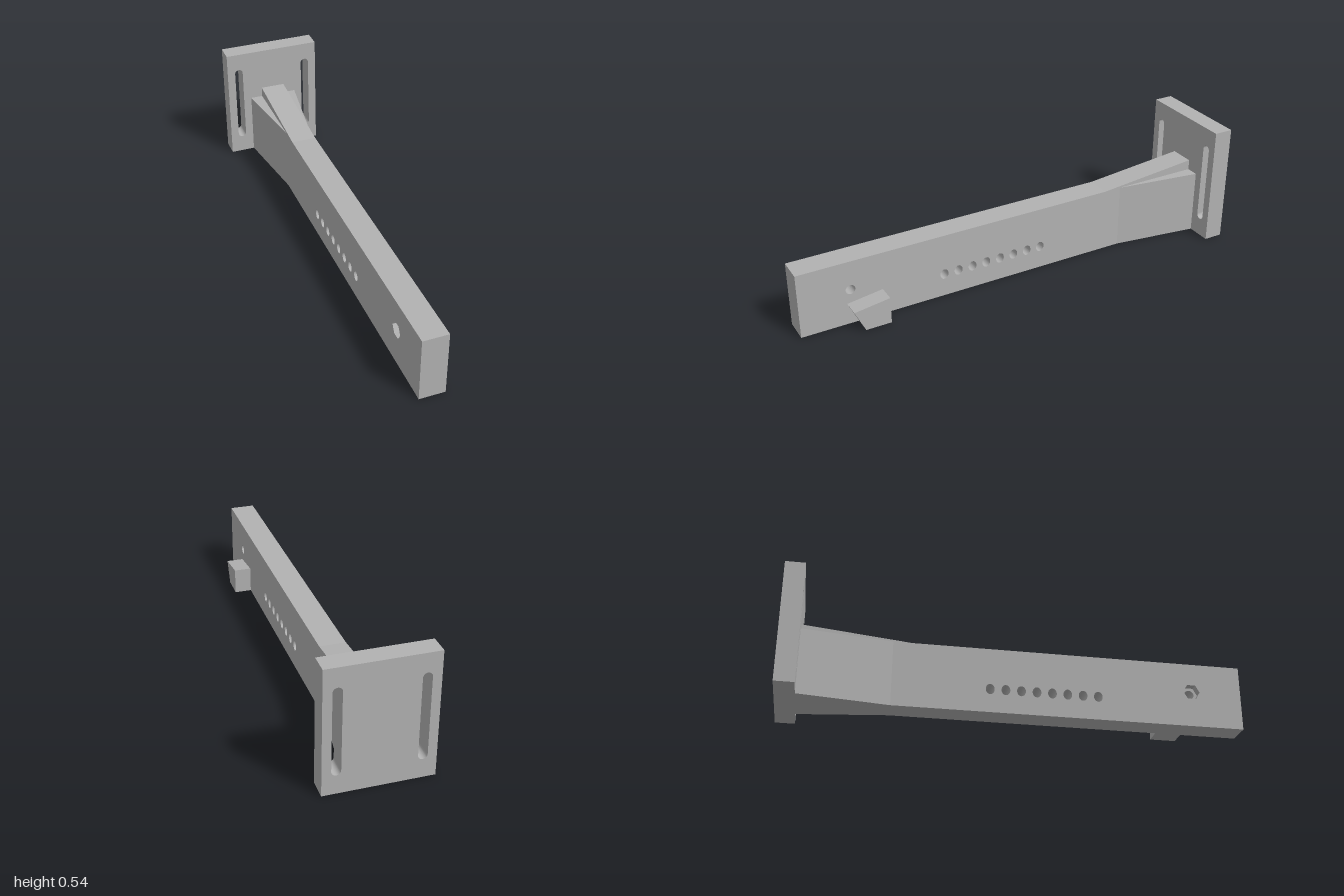
import * as THREE from 'three';

export function createModel() {
  const model = new THREE.Group();
  model.name = 'slottedWallBracket';
  const grey = new THREE.MeshStandardMaterial({ color: 0xb2b2b2 });
  grey.name = 'plain grey';

  const polygon = (points) => new THREE.Shape(points.map(([a, b]) => new THREE.Vector2(a, b)));

  function add(name, geometry) {
    const mesh = new THREE.Mesh(geometry, grey);
    mesh.name = name;
    model.add(mesh);
  }

  const extrude = (shape, depth) =>
    new THREE.ExtrudeGeometry(shape, { depth, bevelEnabled: false, curveSegments: 24 });

  // Side profile given as [z, y] shape, extruded across x from x0 to x1
  function addSideways(name, shape, x0, x1) {
    add(name, extrude(shape, x1 - x0).rotateY(Math.PI / 2).translate(x0, 0, 0));
  }

  // Oval hole at (z, y); shape x runs along -z
  const ovalHole = (z, y, rz, ry) => new THREE.Path().absellipse(-z, y, rz, ry, 0, Math.PI * 2, true);

  const half = 0.056, armTop = 0.291, plateFront = -0.915;

  // Arm with raised root and a row of adjustment holes
  function armProfile(pivotHole) {
    const shape = polygon([
      [-1, 0], [-plateFront, 0], [-plateFront, 0.337], [0.45, armTop], [-1, armTop],
    ]);
    for (let i = 0; i < 8; i++) shape.holes.push(ovalHole(0.355 - i * 0.067, 0.105, 0.019, 0.023));
    shape.holes.push(pivotHole);
    return shape;
  }

  // Hexagonal nut pocket on the right, round bolt hole through the rest
  const hex = new THREE.Path();
  const corners = [];
  for (let i = 0; i < 6; i++) {
    const a = -i * Math.PI / 3;
    corners.push(new THREE.Vector2(-0.776 + 0.037 * Math.cos(a), 0.16 + 0.037 * Math.sin(a)));
  }
  hex.setFromPoints(corners);
  hex.closePath();
  addSideways('armNutPocketSide', armProfile(hex), -half, -0.02);
  addSideways('armBoltSide', armProfile(ovalHole(0.776, 0.16, 0.021, 0.021)), -0.02, half);

  // Side gussets flaring towards the plate: plan triangle raised to arm height
  for (const side of [1, -1]) {
    const plan = polygon([
      [side * half, 0.53], [side * half, -plateFront], [side * 0.112, -plateFront],
    ]);
    add(side > 0 ? 'leftGusset' : 'rightGusset',
      extrude(plan, armTop).rotateX(-Math.PI / 2));
  }

  // Stop block on the left of the arm
  addSideways('stopBlock',
    polygon([[-0.75, 0], [-0.637, 0], [-0.637, 0.119], [-0.795, 0.097]]), half, 0.133);

  // Mounting plate with two long rounded slots
  const plate = polygon([[-0.224, 0], [0.224, 0], [0.224, 0.538], [-0.224, 0.538]]);
  const r = 0.019, low = 0.082 + r, high = 0.456 - r;
  for (const x of [-0.168, 0.168]) {
    const slot = new THREE.Path();
    slot.absarc(x, high, r, 0, Math.PI, false);
    slot.absarc(x, low, r, Math.PI, Math.PI * 2, false);
    slot.closePath();
    plate.holes.push(slot);
  }
  add('mountingPlate', extrude(plate, 1 + plateFront).translate(0, 0, -1));

  return model;
}
